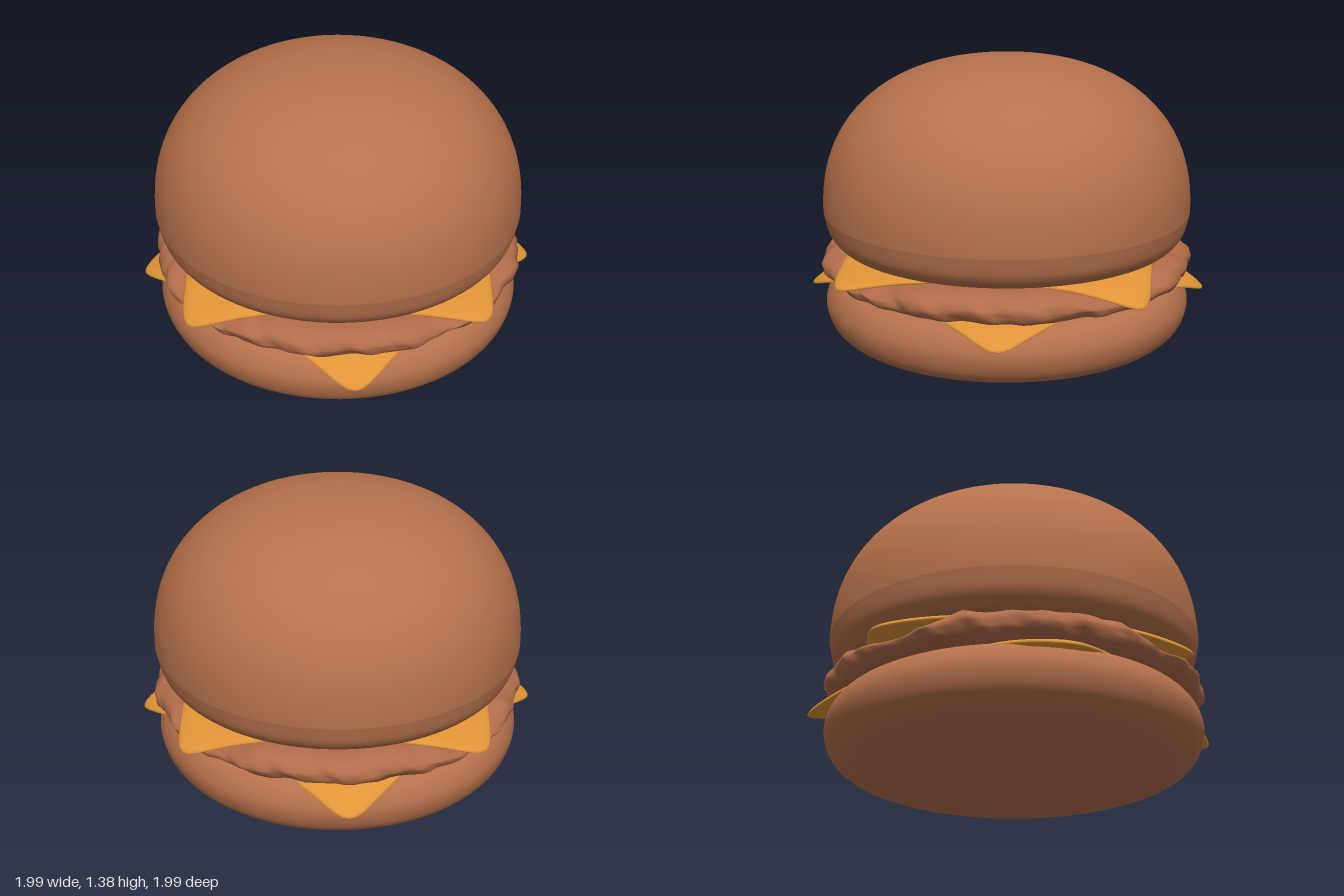
import * as THREE from 'three';
import { mergeVertices } from 'three/addons/utils/BufferGeometryUtils.js';

const bunMat = new THREE.MeshStandardMaterial({ color: 0xb5714b });
bunMat.name = 'toasted bun brown';
const pattyMat = new THREE.MeshStandardMaterial({ color: 0xb06c4a });
pattyMat.name = 'patty brown';
const cheeseMat = new THREE.MeshStandardMaterial({ color: 0xe09438 });
cheeseMat.name = 'cheese orange';

const vec = (pts) => pts.map(([x, y]) => new THREE.Vector2(x, y));

// Revolve a profile, move its vertices by a rule and weld the seam
function turned(points, segments, rule) {
  const lathe = new THREE.LatheGeometry(points, segments);
  lathe.deleteAttribute('uv');
  lathe.deleteAttribute('normal');
  const pos = lathe.attributes.position;
  const v = new THREE.Vector3();
  if (rule) {
    for (let i = 0; i < pos.count; i++) {
      v.fromBufferAttribute(pos, i);
      rule(v, Math.atan2(v.z, v.x), Math.hypot(v.x, v.z));
      pos.setXYZ(i, v.x, v.y, v.z);
    }
  }
  const geo = mergeVertices(lathe, 1e-5);
  geo.computeVertexNormals();
  return geo;
}

function part(name, geometry, material) {
  const mesh = new THREE.Mesh(geometry, material);
  mesh.name = name;
  return mesh;
}

const spline = (pts) => new THREE.SplineCurve(vec(pts)).getPoints(32);

// Flat-bottomed lower bun with a rounded rim
function bottomBun() {
  const rim = spline([[0.77, 0.006], [0.835, 0.022], [0.89, 0.075], [0.914, 0.16],
    [0.893, 0.235], [0.845, 0.285], [0.77, 0.302]]);
  const points = [...vec([[0, 0], [0.5, 0.002]]), ...rim, ...vec([[0.5, 0.302], [0, 0.302]])];
  return part('bottomBun', turned(points, 96), bunMat);
}

// Tall upper bun: tucked-in base, then a full superellipse dome
function topBun() {
  const radius = 0.914, belt = 0.63, height = 0.75, power = 2 / 2.3;
  const points = [...vec([[0, 0.455], [0.5, 0.455]]),
    ...spline([[0.78, 0.456], [0.84, 0.475], [0.89, 0.535], [radius, belt]])];
  for (let i = 1; i <= 40; i++) {
    const t = (i / 40) * Math.PI / 2;
    const r = i === 40 ? 0 : radius * Math.cos(t) ** power;
    points.push(new THREE.Vector2(r, belt + height * Math.sin(t) ** power));
  }
  return part('topBun', turned(points, 96), bunMat);
}

// Craggy disc whose rim wobbles, pressed down under the upper cheese corners
function patty() {
  const profile = vec([
    [0, 0.303], [0.5, 0.303], [0.78, 0.303], [0.85, 0.308], [0.885, 0.32],
    [0.902, 0.335], [0.912, 0.352], [0.918, 0.37], [0.916, 0.387], [0.906, 0.405],
    [0.886, 0.424], [0.85, 0.44], [0.78, 0.447], [0.5, 0.447], [0, 0.447],
  ]);
  const geo = turned(profile, 180, (v, a, r) => {
    const rim = THREE.MathUtils.smoothstep(r, 0.6, 0.88);
    const press = rim * Math.max(0, Math.cos(4 * (a - 0.08)))
      * THREE.MathUtils.smoothstep(v.y, 0.34, 0.43);
    const bump = 0.009 * Math.sin(13 * a + 1)
      + 0.007 * Math.sin(22 * a + 2.4 - 30 * v.y)
      + 0.005 * Math.sin(9 * a + 120 * v.y)
      + 0.003 * Math.sin(47 * a + 0.7 - 60 * v.y);
    const k = 1 + rim * bump - 0.03 * press;
    v.x *= k;
    v.z *= k;
    v.y += rim * (0.004 * Math.sin(9 * a + 0.5) + 0.003 * Math.sin(31 * a + 2)) - 0.042 * press;
  });
  return part('patty', geo, pattyMat);
}

// Soft square slice with drooping corners; each diagonal pair has its own droop
function cheese(name, y, droopA, droopB) {
  const rings = 24, flat = 0.95, points = [];
  for (let i = 0; i <= rings; i++) points.push([flat * i / rings, -0.032]);
  points.push([0.975, -0.028], [0.994, -0.02], [1, -0.013], [0.994, -0.006], [0.975, -0.001]);
  for (let i = rings; i >= 0; i--) points.push([flat * i / rings, 0]);
  const geo = turned(vec(points), 192, (v, a, r) => {
    const n = 15;
    const edge = 0.738 / Math.pow(Math.abs(Math.cos(a)) ** n + Math.abs(Math.sin(a)) ** n, 1 / n);
    v.x *= edge;
    v.z *= edge;
    const bend = Math.max(0, (r * edge - 0.77) / 0.227);
    v.y -= (v.x * v.z > 0 ? droopA : droopB) * Math.pow(bend, 1.35);
  });
  const mesh = part(name, geo, cheeseMat);
  mesh.position.y = y;
  return mesh;
}

export function createModel() {
  const burger = new THREE.Group();
  burger.name = 'burger';
  const lower = cheese('lowerCheese', 0.315, 0.098, 0.072);
  const upper = cheese('upperCheese', 0.465, 0.065, 0.095);
  upper.rotation.y = THREE.MathUtils.degToRad(40.4);
  burger.add(bottomBun(), lower, patty(), upper, topBun());
  return burger;
}
